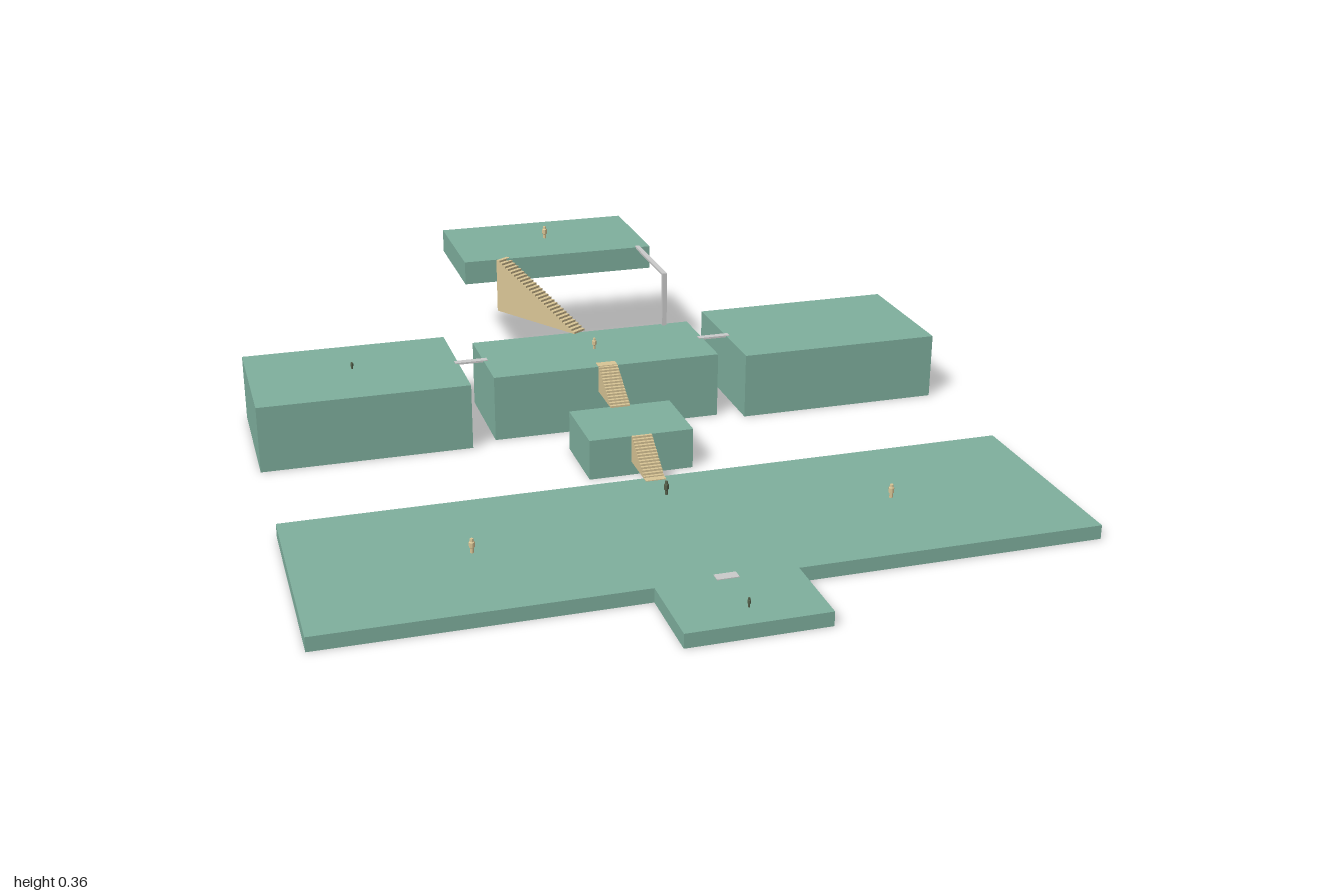
import * as THREE from 'three';

const GREEN = new THREE.MeshStandardMaterial({ color: 0x7fb09e });
const TAN = new THREE.MeshStandardMaterial({ color: 0xd9c596 });
const GREY = new THREE.MeshStandardMaterial({ color: 0xcccccc });
const DARK = new THREE.MeshStandardMaterial({ color: 0x55604a });

// Box given by its limits on each axis
function block(name, [x0, x1], [y0, y1], [z0, z1], material) {
  const mesh = new THREE.Mesh(new THREE.BoxGeometry(x1 - x0, y1 - y0, z1 - z0), material);
  mesh.position.set((x0 + x1) / 2, (y0 + y1) / 2, (z0 + z1) / 2);
  mesh.name = name;
  return mesh;
}

// Solid flight of steps rising from one point to another
function stairs(name, from, to, width, steps) {
  const dx = to[0] - from[0], dz = to[2] - from[2];
  const run = Math.hypot(dx, dz), rise = to[1] - from[1];
  const side = new THREE.Shape();
  side.moveTo(0, 0);
  for (let i = 0; i < steps; i++) {
    side.lineTo((run * i) / steps, (rise * (i + 1)) / steps);
    side.lineTo((run * (i + 1)) / steps, (rise * (i + 1)) / steps);
  }
  side.lineTo(run, 0);
  side.closePath();
  const geometry = new THREE.ExtrudeGeometry(side, { depth: width, bevelEnabled: false });
  geometry.translate(0, 0, -width / 2);
  const mesh = new THREE.Mesh(geometry, TAN);
  mesh.position.set(...from);
  mesh.rotation.y = Math.atan2(-dz, dx);
  mesh.name = name;
  return mesh;
}

// Small standing marker: narrow foot, wider body, rounded top
function marker(name, x, y, z, height, radius, material) {
  const profile = [[0, 0], [0.65, 0], [0.65, 0.35], [1, 0.4], [1, 0.75], [0.7, 0.8], [0.6, 1], [0, 1]]
    .map(([r, h]) => new THREE.Vector2(r * radius, h * height));
  const mesh = new THREE.Mesh(new THREE.LatheGeometry(profile, 8), material.clone());
  mesh.material.flatShading = true;
  mesh.position.set(x, y, z);
  mesh.name = name;
  return mesh;
}

export function createModel() {
  const model = new THREE.Group();
  model.name = 'platformArena';

  // Platforms
  model.add(
    block('mainFloor', [-0.917, 0.917], [0, 0.035], [0.25, 0.795], GREEN),
    block('entranceFloor', [-0.167, 0.167], [0, 0.035], [0.795, 1], GREEN),
    block('landingBlock', [-0.135, 0.135], [0, 0.105], [-0.05, 0.147], GREEN),
    block('centreBlock', [-0.306, 0.306], [0, 0.175], [-0.43, -0.16], GREEN),
    block('upperPlatform', [-0.272, 0.272], [0.26, 0.325], [-1, -0.675], GREEN),
  );

  // Side blocks and the thin bridges to them
  for (const [side, s] of [['left', 1], ['right', -1]]) {
    const span = (a, b) => [Math.min(a * s, b * s), Math.max(a * s, b * s)];
    model.add(
      block(side + 'Block', span(0.373, 0.917), [0, 0.175], [-0.498, -0.127], GREEN),
      block(side + 'Bridge', span(0.295, 0.382), [0.172, 0.177], [-0.304, -0.286], GREY),
    );
  }

  // Stairs, with flush landing plates at the overlaps
  model.add(
    stairs('lowerStairs', [0, 0.035, 0.252], [0, 0.105, 0.145], 0.052, 14),
    stairs('middleStairs', [0, 0.105, -0.042], [0, 0.175, -0.162], 0.052, 14),
    stairs('upperStairs', [-0.005, 0.175, -0.43], [-0.165, 0.326, -0.68], 0.042, 26),
    block('lowerLanding', [-0.026, 0.026], [0.034, 0.037], [0.25, 0.27], TAN),
    block('middleLanding', [-0.026, 0.026], [0.174, 0.177], [-0.186, -0.16], TAN),
  );

  // Threshold, upright and high walkway
  model.add(
    block('threshold', [-0.026, 0.026], [0.033, 0.037], [0.775, 0.8], GREY),
    block('ladder', [0.23, 0.243], [0.175, 0.325], [-0.425, -0.417], GREY),
    block('highWalkway', [0.23, 0.243], [0.321, 0.327], [-0.685, -0.417], GREY),
  );

  // Markers
  model.add(
    marker('leftFloorMarker', 0.51, 0.035, 0.52, 0.035, 0.007, TAN),
    marker('rightFloorMarker', -0.51, 0.035, 0.52, 0.035, 0.007, TAN),
    marker('middleFloorMarker', 0, 0.035, 0.352, 0.035, 0.006, DARK),
    marker('entranceMarker', 0, 0.035, 0.93, 0.022, 0.004, DARK),
    marker('centreMarker', 0, 0.175, -0.295, 0.03, 0.006, TAN),
    marker('rightBlockMarker', -0.648, 0.175, -0.33, 0.018, 0.004, DARK),
    marker('upperMarker', 0, 0.325, -0.84, 0.035, 0.007, TAN),
  );
  return model;
}
